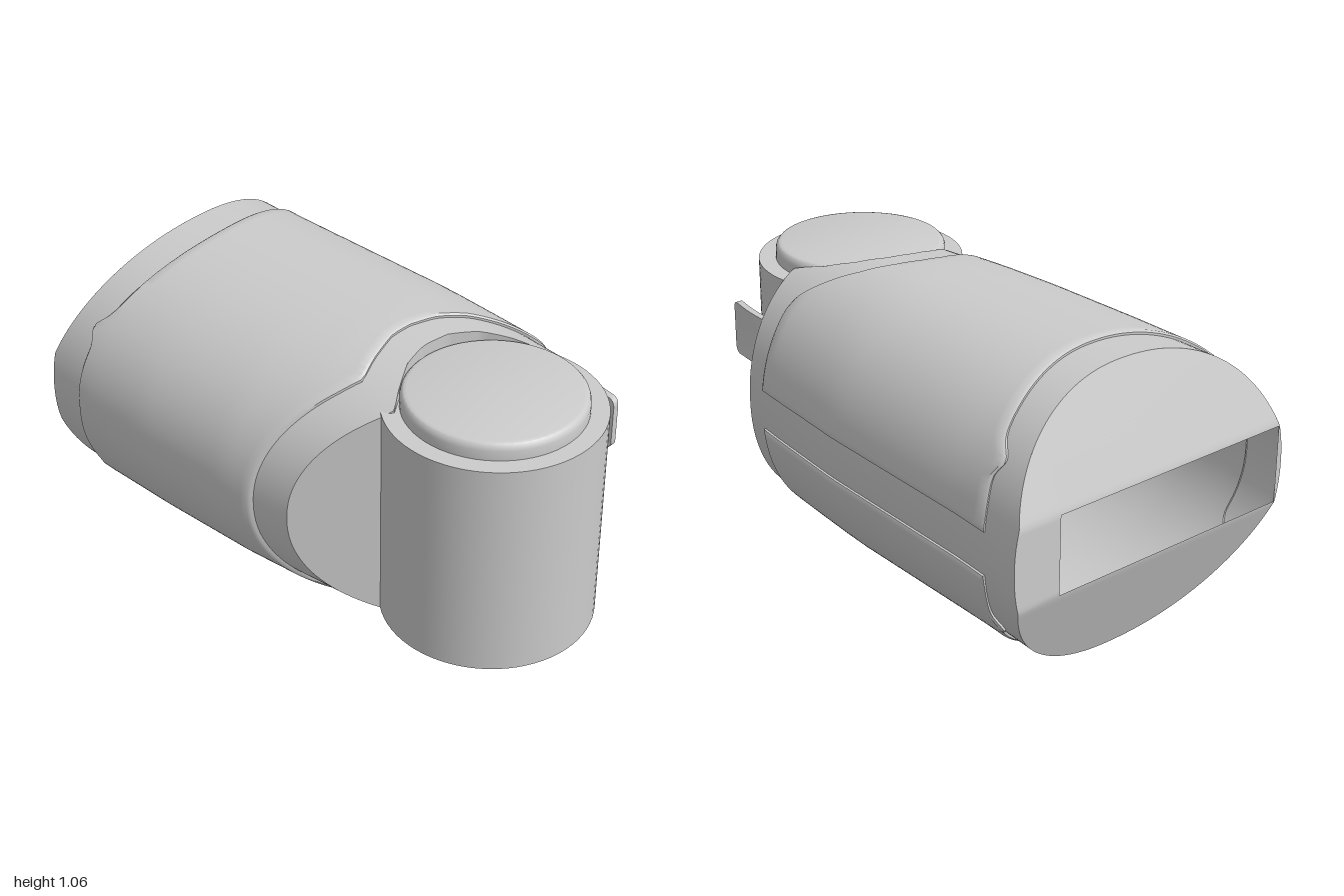
import * as THREE from 'three';
import { toCreasedNormals } from 'three/addons/utils/BufferGeometryUtils.js';

const material = new THREE.MeshStandardMaterial({ color: 0xcccccc, side: THREE.DoubleSide });
const MID = 0.53, INSET = 0.014, SEG = 144;

// piecewise linear lookup over [key, value] pairs in rising key order
function lerpTable(table, k) {
  if (k <= table[0][0]) return table[0][1];
  for (let i = 1; i < table.length; i++) {
    const [k0, v0] = table[i - 1], [k1, v1] = table[i];
    if (k <= k1) return v0 + (v1 - v0) * (k - k0) / (k1 - k0);
  }
  return table[table.length - 1][1];
}

// back, front and half height of the oval section along x
const BACK = [[-1, -0.634], [-0.84, -0.618], [-0.7, -0.605], [0, -0.573], [0.4, -0.533], [0.6, -0.508]];
const FRONT = [[-1, 0.597], [-0.8, 0.61], [-0.5, 0.618], [-0.1, 0.613], [0.2, 0.587], [0.6, 0.56]];
const HALF = [[-1, 0.53], [-0.86, 0.53], [-0.7, 0.528], [0.1, 0.528], [0.3, 0.522], [0.6, 0.51]];

function section(x, angle, inset) {
  const c = Math.cos(angle), s = Math.sin(angle), p = 2 / 2.15, zc = -0.05;
  const reach = c > 0 ? lerpTable(FRONT, x) - zc : zc - lerpTable(BACK, x);
  return new THREE.Vector3(x,
    MID + Math.sign(s) * Math.abs(s) ** p * (lerpTable(HALF, x) - inset),
    zc + Math.sign(c) * Math.abs(c) ** p * (reach - inset));
}

// point on the oval where x obeys a rule of y and z
function edgePoint(rule, angle, inset) {
  let q = section(0, angle, inset);
  for (let i = 0; i < 8; i++) q = section(rule(q), angle, inset);
  return q;
}

// edge rules: wedge end, panel seam with clip notches, panel front edge, core front edge
const wedge = q => -1 + 0.14 * Math.max(0, Math.abs(q.y - MID) - 0.145) / 0.37;
const seam = q => {
  const notch = Math.abs(q.z) > 0.3 ? 0.04 * Math.exp(-(((Math.abs(q.y - MID) - 0.3) / 0.035) ** 2)) : 0;
  return -0.71 - 0.13 * Math.min(1, (q.z / 0.6) ** 2) - notch;
};
const PANEL_EDGE = [[-0.55, 0.47], [-0.4, 0.47], [-0.36, 0.455], [-0.28, 0.375], [-0.2, 0.3], [-0.1, 0.24],
  [0, 0.208], [0.08, 0.2], [0.2, 0.225], [0.28, 0.25], [0.35, 0.205], [0.6, 0.02]];
const CORE_EDGE = [[-0.5, 0.575], [-0.27, 0.598], [-0.25, 0.55], [-0.22, 0.478], [-0.15, 0.39], [-0.05, 0.331],
  [0.055, 0.313], [0.15, 0.328], [0.25, 0.378], [0.31, 0.415], [0.345, 0.392], [0.58, 0.17]];
const panelEdge = q => lerpTable(PANEL_EDGE, q.z);
const coreEdge = q => lerpTable(CORE_EDGE, q.z);

// quad grid from a point function
function grid(nu, nv, fn, keep = () => true) {
  const pos = [], index = [];
  for (let i = 0; i <= nu; i++) for (let j = 0; j <= nv; j++) pos.push(...fn(i, j).toArray());
  for (let i = 0; i < nu; i++) for (let j = 0; j < nv; j++) {
    if (!keep(i, j)) continue;
    const a = i * (nv + 1) + j, b = a + nv + 1;
    index.push(a, b, b + 1, a, b + 1, a + 1);
  }
  const g = new THREE.BufferGeometry();
  g.setAttribute('position', new THREE.Float32BufferAttribute(pos, 3));
  g.setIndex(index);
  return toCreasedNormals(g, 0.6);
}

function add(group, name, geometry, x = 0, y = 0, z = 0) {
  const mesh = new THREE.Mesh(geometry, material);
  mesh.name = name;
  mesh.position.set(x, y, z);
  group.add(mesh);
  return mesh;
}

// skin between two edge rules at one angle
function skin(start, end, t, angle, inset) {
  const a = edgePoint(start, angle, inset), b = edgePoint(end, angle, inset);
  return section(a.x + (b.x - a.x) * t, angle, inset);
}

// panel rows: two at the edge (one dropped), one close by, then even spacing
function edgeSpaced(i, n, near) {
  const k = Math.min(i, n - i);
  const t = k < 2 ? 0 : k === 2 ? near : (k - 2) / (n - 4);
  return i <= n / 2 ? t : 1 - t;
}

export function createModel() {
  const group = new THREE.Group();

  // inner core: shows as collar, end piece and spine strip
  add(group, 'core', grid(24, SEG, (i, j) =>
    skin(wedge, coreEdge, i / 24, (j / SEG) * Math.PI * 2, INSET)));

  // outer panel wrapped round the core, with rolled edges and a gap along the back
  const NU = 28, gap = 0.13;
  add(group, 'outerPanel', grid(NU, SEG, (i, j) => {
    const rim = Math.min(i, NU - i, j, SEG - j);
    const drop = rim === 0 ? INSET + 0.004 : rim === 1 ? 0.006 : 0;
    const angle = (edgeSpaced(j, SEG, 0.003) * 2 - 1) * (Math.PI - gap);
    return skin(seam, panelEdge, edgeSpaced(i, NU, 0.01), angle, drop);
  }));

  // slanted front face, hollow roller seat and back end face, with a narrow slit beside the roller
  const wallPoint = (i, j) => {
    const top = edgePoint(coreEdge, (j / 140) * Math.PI, INSET);
    return i ? top : new THREE.Vector3(top.x, 2 * MID - top.y, top.z);
  };
  add(group, 'rollerSeat', grid(1, 140, wallPoint, (i, j) => {
    const z = (wallPoint(1, j).z + wallPoint(1, j + 1).z) / 2;
    return z > -0.28 || z < -0.33;
  }));

  // wedge end with a wide slot
  const endPoint = (i, j) => {
    const a = (j / 100 - 0.5) * Math.PI;
    const f = edgePoint(wedge, a, INSET), b = edgePoint(wedge, Math.PI - a, INSET);
    const inside = z => THREE.MathUtils.clamp(z, b.z, f.z);
    return new THREE.Vector3(f.x, f.y, [b.z, inside(-0.43), inside(0.56), f.z][i]);
  };
  add(group, 'wedgeEnd', grid(3, 100, endPoint, (i, j) =>
    i !== 1 || Math.abs((endPoint(0, j).y + endPoint(0, j + 1).y) / 2 - MID) > 0.147));

  // roller and its two rounded caps
  const rx = 0.625, rz = 0.055;
  add(group, 'roller', new THREE.CylinderGeometry(0.375, 0.375, 0.81, 72), rx, 0.535, rz);
  const profile = [[0.312, 0], [0.312, 0.035], [0.308, 0.049], [0.3, 0.058], [0.288, 0.061], [0, 0.061]]
    .map(([r, y]) => new THREE.Vector2(r, y));
  for (const side of [1, -1]) {
    const cap = add(group, side > 0 ? 'topCap' : 'bottomCap',
      toCreasedNormals(new THREE.LatheGeometry(profile, 64), 0.6), rx, side > 0 ? 0.94 : 0.13, rz);
    if (side < 0) cap.rotation.x = Math.PI;
  }

  // latch tab with rounded corners, bent towards the roller, and its bracket
  const tab = new THREE.Shape();
  tab.moveTo(0.57, 0.62);
  tab.lineTo(0.77, 0.62);
  tab.quadraticCurveTo(0.8, 0.62, 0.8, 0.65);
  tab.lineTo(0.8, 0.79);
  tab.quadraticCurveTo(0.8, 0.82, 0.77, 0.82);
  for (let x = 0.73; x > 0.56; x -= 0.04) tab.lineTo(x, 0.82);
  for (let y = 0.82; y > 0.62; y -= 0.1) tab.lineTo(0.57, y);
  const tabGeometry = new THREE.ExtrudeGeometry(tab, { depth: 0.025, bevelEnabled: false, curveSegments: 6 });
  const p = tabGeometry.attributes.position;
  for (let i = 0; i < p.count; i++) p.setZ(i, p.getZ(i) - 0.425 + 0.55 * (p.getX(i) - 0.57) ** 2);
  add(group, 'latchTab', toCreasedNormals(tabGeometry, 0.6));
  add(group, 'latchBracket', new THREE.BoxGeometry(0.1, 0.16, 0.06), 0.545, 0.77, -0.36);

  return group;
}
